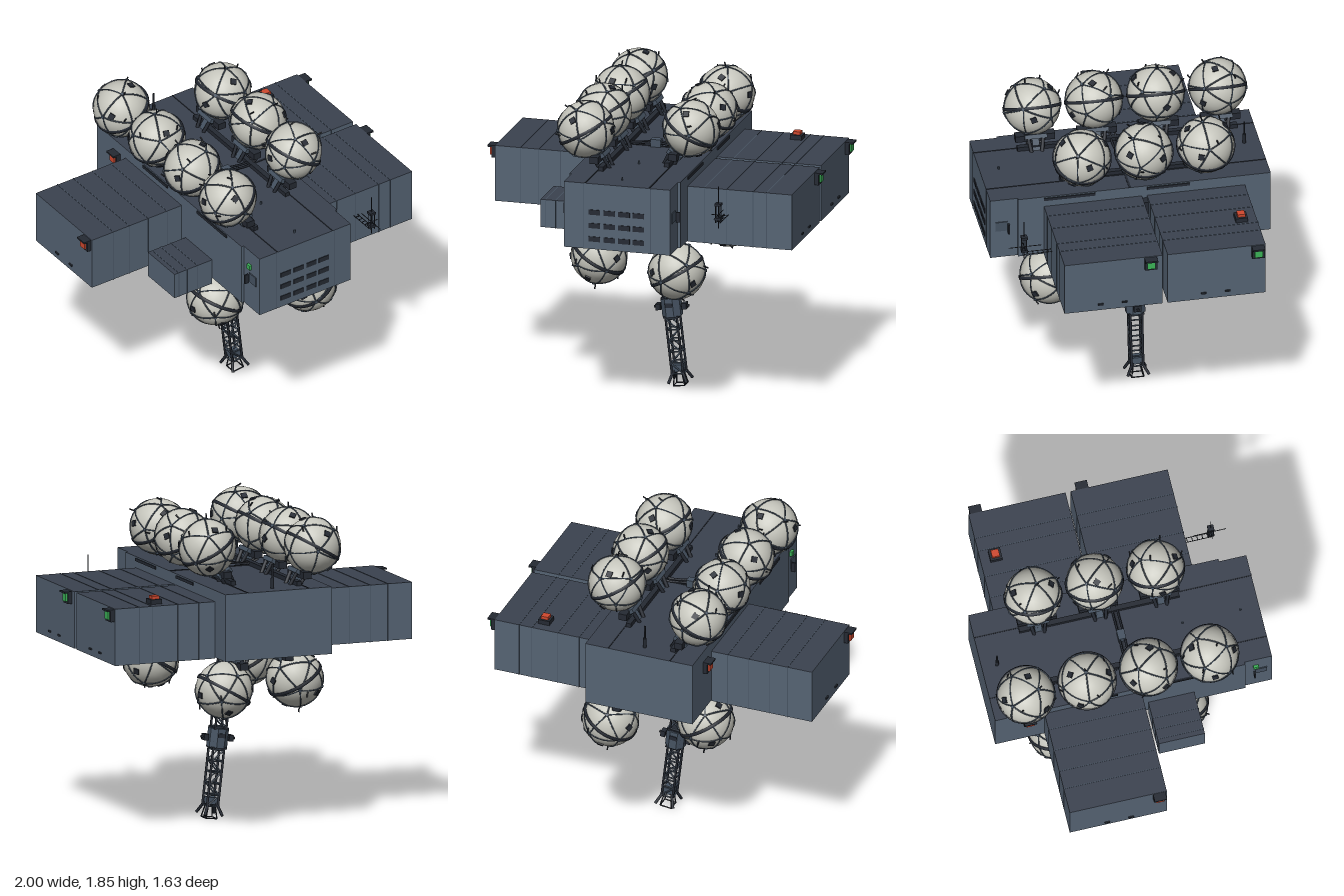
import * as THREE from 'three';
import { mergeGeometries } from 'three/addons/utils/BufferGeometryUtils.js';

const mat = (name, color) => Object.assign(new THREE.MeshStandardMaterial({ color }), { name });
const V = (x, y, z) => new THREE.Vector3(x, y, z);
const UP = V(0, 1, 0);

export function createModel() {
  const root = new THREE.Group();
  root.name = 'orbitalDepot';
  const hull = mat('hullSlate', 0x566474), deck = mat('deckSlate', 0x3b424f);
  const steel = mat('steelBlue', 0x465362), dark = mat('darkTrim', 0x252a33);
  const pale = mat('tankPale', 0xc6c6bd), red = mat('signalRed', 0xd0492f), green = mat('signalGreen', 0x3cb458);
  const shell = [hull, hull, deck, deck, hull, hull];

  const add = (name, geo, m, parent = root) => {
    const mesh = new THREE.Mesh(geo, m);
    mesh.name = name;
    parent.add(mesh);
    return mesh;
  };
  const group = (name, parent = root) => {
    const g = new THREE.Group();
    g.name = name;
    parent.add(g);
    return g;
  };
  // box given by its lower and upper limits on each axis
  const box = (name, x0, x1, y0, y1, z0, z1, m, parent) => {
    const b = add(name, new THREE.BoxGeometry(x1 - x0, y1 - y0, z1 - z0), m, parent);
    b.position.set((x0 + x1) / 2, (y0 + y1) / 2, (z0 + z1) / 2);
    return b;
  };
  // straight bar geometry between two points
  const bar = (a, b, r, sides = 5) => {
    const d = b.clone().sub(a), g = new THREE.CylinderGeometry(r, r, d.length(), sides);
    g.applyQuaternion(new THREE.Quaternion().setFromUnitVectors(UP, d.normalize()));
    return g.translate((a.x + b.x) / 2, (a.y + b.y) / 2, (a.z + b.z) / 2);
  };
  const bars = (name, list, r, m, parent) => add(name, mergeGeometries(list.map(([a, b]) => bar(a, b, r))), m, parent);

  // core hull with narrower nose and its deck seams
  box('coreHull', -0.33, 0.33, 1.06, 1.45, -0.82, 0.65, shell);
  box('noseBlock', -0.315, 0.315, 1.06, 1.45, 0.65, 0.81, shell);
  for (const s of [-1, 1]) {
    box('nosePanel', s * 0.318 - 0.003, s * 0.318 + 0.003, 1.24, 1.3, 0.71, 0.78, steel);
    box('noseHandle', s * 0.335 - 0.012, s * 0.335 + 0.012, 1.23, 1.29, 0.7, 0.71, dark);
    box('deckSeam', s * 0.19 - 0.003, s * 0.19 + 0.003, 1.448, 1.453, -0.82, 0.81, dark);
    for (const [z0, z1] of [[0.2, 0.5], [-0.35, -0.1]])
      box('sideVent', s * 0.332 - 0.004, s * 0.332 + 0.004, 1.425, 1.442, z0, z1, dark);
  }
  box('crossSeam', -0.33, 0.33, 1.448, 1.454, -0.006, 0.006, dark);

  // nose grilles and panel seams
  for (const y of [1.12, 1.2, 1.28]) for (const x of [-0.135, -0.045, 0.042, 0.127])
    box('noseGrille', x - 0.034, x + 0.034, y - 0.015, y + 0.015, 0.808, 0.814, dark);
  for (const x of [-0.2, 0.2]) box('noseSeam', x - 0.002, x + 0.002, 1.06, 1.45, 0.808, 0.812, steel);

  // cargo wings: x0, x1, y0, y1, z0, z1, seam positions
  const wings = [
    [0.33, 0.95, 1.055, 1.385, -0.67, -0.1, [0.43, 0.56, 0.72, 0.8]],
    [0.33, 0.95, 1.055, 1.385, -0.07, 0.5, [0.43, 0.56, 0.72, 0.8]],
    [-0.95, -0.33, 1.055, 1.385, -0.53, 0.04, [-0.8, -0.69, -0.56, -0.43]],
    [-0.59, -0.33, 1.02, 1.185, 0.08, 0.35, [-0.56, -0.5, -0.43]]];
  for (const [x0, x1, y0, y1, z0, z1, seams] of wings) {
    box('cargoWing', x0, x1, y0, y1, z0, z1, shell);
    for (const x of seams) box('wingSeam', x - 0.002, x + 0.002, y0 - 0.002, y1 + 0.002, z0 - 0.002, z1 + 0.002, steel);
    const xe = x0 > 0 ? x1 : x0;
    if (y1 > 1.2) for (const dz of [-0.08, 0.06])
      box('wingHandle', xe - 0.008, xe + 0.008, 1.09, 1.1, (z0 + z1) / 2 + dz, (z0 + z1) / 2 + dz + 0.03, dark);
  }
  box('wingLink', 0.33, 0.38, 1.07, 1.37, -0.1, -0.07, dark);

  // side signal lamps: housing with a coloured face
  const lamp = (x, z, s, m) => {
    const g = group('signalLamp');
    g.position.set(x, 1.345, z);
    g.rotation.y = s < 0 ? Math.PI : 0;
    box('lampBack', 0, 0.025, -0.036, 0.036, -0.036, 0.036, dark, g);
    box('lampHood', 0, 0.048, 0.026, 0.036, -0.036, 0.036, dark, g);
    box('lampFace', 0.024, 0.036, -0.023, 0.023, -0.023, 0.023, m, g);
  };
  lamp(0.95, 0, 1, green);
  lamp(0.95, -0.625, 1, green);
  lamp(-0.95, -0.005, -1, red);
  lamp(-0.33, -0.62, -1, red);
  box('beaconBase', 0.635, 0.705, 1.38, 1.412, -0.615, -0.545, dark);
  box('beaconLens', 0.648, 0.692, 1.41, 1.43, -0.602, -0.558, red);
  box('noseLamp', -0.33, -0.31, 1.33, 1.36, 0.7, 0.73, green);

  // tank parts shared by all tanks; local +y points away from the hull
  const R = 0.163;
  const ball = new THREE.IcosahedronGeometry(R, 5);
  const ico = new THREE.IcosahedronGeometry(1, 0);
  const ep = new THREE.EdgesGeometry(ico).attributes.position;
  const strapList = [], nodes = new Map();
  for (let i = 0; i < ep.count; i += 2) {
    const a = V().fromBufferAttribute(ep, i), b = V().fromBufferAttribute(ep, i + 1);
    const arc = [0, 0.25, 0.5, 0.75, 1].map(t => a.clone().lerp(b, t).setLength(R + 0.001));
    strapList.push(new THREE.TubeGeometry(new THREE.CatmullRomCurve3(arc), 6, 0.0045, 4));
    for (const p of [a, b]) nodes.set(p.toArray().map(n => n.toFixed(2)).join(), p);
  }
  const points = [...nodes.values()];
  strapList.push(...points.map(p => bar(p.clone().setLength(R - 0.004), p.clone().setLength(R + 0.009), 0.01, 6)));
  const straps = mergeGeometries(strapList);
  const band = new THREE.LatheGeometry([[R, -0.009], [R + 0.007, -0.009], [R + 0.007, 0.009], [R, 0.009]]
    .map(p => new THREE.Vector2(...p)), 40);
  const fittings = [];
  [[1, 0.9, 0.2], [-0.7, 0.8, 0.7], [0.1, 0.7, -1], [-1, -0.5, -0.3], [0.7, -0.6, 0.8]].forEach(d => {
    const n = V(...d).normalize(), q = new THREE.Quaternion().setFromUnitVectors(UP, n);
    fittings.push(new THREE.BoxGeometry(0.034, 0.012, 0.034).applyQuaternion(q).translate(n.x * R, n.y * R, n.z * R));
  });
  [[0.3, 1, 0.5], [-0.5, 1, -0.4], [0.9, 0.3, -0.6], [-0.4, 0.4, 1]].forEach(d => {
    const n = V(...d).normalize().multiplyScalar(R);
    fittings.push(bar(n, n.clone().multiplyScalar(1.04).add(V(0.015, 0.02, 0.012)), 0.0045));
  });
  const fitting = mergeGeometries(fittings);

  const tank = (x, y, z, i) => {
    const g = group('tank');
    g.position.set(x, y, z);
    const up = y > 1.2 ? 1 : -1;
    g.quaternion.setFromUnitVectors(UP, V(Math.sign(x) * 0.5, up * 0.866, 0));
    const body = group('tankBody', g);
    body.rotation.y = i * 1.1;
    add('tankShell', ball, pale, body);
    add('tankStraps', straps, steel, body).rotation.set(0.4, 0, 0.3);
    add('tankBand', band, dark, body).material.side = THREE.DoubleSide;
    add('tankFittings', fitting, dark, body);
    // cradle and legs down to the hull
    box('tankCradle', -0.045, 0.045, -0.185, -0.16, -0.065, 0.065, steel, g);
    bars('cradleLegs', [-1, 1].flatMap(a => [-1, 1].map(b =>
      [V(a * 0.03, -0.17, b * 0.045), V(a * 0.025, -0.265, b * 0.03)])), 0.011, dark, g);
    box('cradlePost', -0.02, 0.02, -0.255, -0.17, -0.02, 0.02, steel, g);
    // level mounting blocks
    const by = up > 0 ? 1.51 : 1.005, bx = x - Math.sign(x) * 0.08;
    box('mountBlock', bx - 0.025, bx + 0.025, by - 0.02, by + 0.02, z - 0.115, z + 0.115, dark);
  };
  let n = 0;
  for (const z of [-0.63, -0.27, 0.09, 0.45]) tank(-0.29, 1.66, z, n++);
  for (const z of [-0.45, -0.09, 0.27]) tank(0.285, 1.66, z, n++);
  for (const z of [-0.62, 0.46]) tank(0.255, 0.86, z, n++);
  for (const z of [-0.44, 0.28]) tank(-0.26, 0.86, z, n++);

  // tank rails along the deck and arched ties between them
  box('tankRail', -0.185, -0.155, 1.45, 1.475, -0.72, 0.56, dark);
  box('tankRail', 0.155, 0.185, 1.45, 1.475, -0.56, 0.38, dark);
  for (const z of [-0.015, 0.015]) {
    const arch = new THREE.CatmullRomCurve3([V(-0.21, 1.485, z), V(-0.15, 1.462, z), V(0, 1.478, z), V(0.15, 1.462, z), V(0.21, 1.485, z)]);
    add('archTie', new THREE.TubeGeometry(arch, 20, 0.007, 5), dark);
  }
  box('archHub', -0.03, 0.03, 1.45, 1.495, -0.022, 0.022, steel);
  for (const z of [-0.44, 0.46]) bars('lowerTie', [[V(-0.17, 1.035, z), V(0.17, 1.035, z)]], 0.009, dark);
  box('lowerHub', -0.05, 0.05, 1.03, 1.06, -0.13, -0.03, dark);
  box('lowerSensor', -0.02, 0.02, 1.02, 1.06, 0.09, 0.13, dark);

  // deck mast
  bars('deckMast', [[V(0, 1.45, -0.73), V(0, 1.59, -0.73)]], 0.006, dark);
  bars('mastCollar', [[V(0, 1.45, -0.73), V(0, 1.51, -0.73)]], 0.011, dark);
  for (const z of [0.36, 0.7]) bars('deckPin', [[V(0, 1.45, z), V(0, 1.468, z)]], 0.006, steel);

  // aerial on an outrigger ahead of the wing
  const aerial = [[V(0.56, 1.2, 0.66), V(0.56, 1.45, 0.66)], [V(0.56, 1.28, 0.56), V(0.56, 1.28, 0.75)],
    [V(0.52, 1.28, 0.66), V(0.6, 1.28, 0.66)]];
  for (const x of [0.547, 0.573]) {
    aerial.push([V(x, 1.235, 0.5), V(x, 1.235, 0.66)]);
    for (const z of [0.647, 0.673]) aerial.push([V(x, 1.235, z), V(x, 1.35, z)]);
  }
  for (let z = 0.52; z < 0.65; z += 0.03) aerial.push([V(0.547, 1.235, z), V(0.573, 1.235, z)]);
  bars('aerial', aerial, 0.0025, dark);
  for (const y of [1.25, 1.335]) box('aerialBox', 0.542, 0.578, y, y + 0.015, 0.642, 0.678, dark);

  // hanging lattice boom
  const boom = group('boom');
  boom.position.set(0, 1.06, -0.08);
  boom.rotation.z = 0.115;
  const h = 0.034, len = 0.98, steps = 15, rails = [], lattice = [];
  for (const x of [-h, h]) for (const z of [-h, h]) rails.push([V(x, 0, z), V(x, -len, z)]);
  bars('boomRails', rails, 0.0075, dark, boom);
  for (let i = 0; i <= steps; i++) {
    const y = -i * len / steps, y2 = y - len / steps, s = i % 2 ? h : -h;
    for (const k of [-h, h]) {
      lattice.push([V(-h, y, k), V(h, y, k)], [V(k, y, -h), V(k, y, h)]);
      if (i < steps) lattice.push([V(s, y, k), V(-s, y2, k)]);
    }
  }
  bars('boomLattice', lattice, 0.005, steel, boom);

  // boom cabin with side pods
  const cabin = group('boomCabin', boom);
  cabin.position.y = -0.585;
  const drum = new THREE.CylinderGeometry(0.06, 0.06, 0.11, 8).toNonIndexed();
  drum.computeVertexNormals();
  add('cabinDrum', drum, steel, cabin).rotation.y = Math.PI / 8;
  for (const y of [-0.057, 0.057]) box('cabinRim', -0.045, 0.045, y - 0.006, y + 0.006, -0.045, 0.045, dark, cabin);
  for (const s of [-1, 1]) {
    bars('podArm', [[V(s * 0.05, 0, 0), V(s * 0.105, 0, 0)]], 0.008, dark, cabin);
    box('podHead', s * 0.078 - 0.014, s * 0.078 + 0.014, -0.018, 0.018, -0.022, 0.022, dark, cabin);
    box('cabinWindow', -0.022, 0.022, 0.005, 0.03, s * 0.057 - 0.003, s * 0.057 + 0.003, dark, cabin);
  }

  // splayed foot at the end of the boom
  const foot = group('boomFoot', boom);
  foot.position.y = -len;
  box('footBlock', -0.03, 0.03, 0.01, 0.05, -0.028, 0.028, steel, foot);
  const legs = [], ring = [];
  for (const a of [-1, 1]) {
    for (const b of [-1, 1]) legs.push([V(a * 0.025, 0.02, b * 0.025), V(a * 0.055, -0.05, b * 0.062)]);
    ring.push([V(-0.034, -0.07, a * 0.036), V(0.034, -0.07, a * 0.036)], [V(a * 0.034, -0.07, -0.036), V(a * 0.034, -0.07, 0.036)]);
    for (const b of [-1, 1]) ring.push([V(a * 0.02, 0.01, b * 0.02), V(a * 0.034, -0.07, b * 0.036)]);
  }
  bars('footLegs', legs, 0.009, dark, foot);
  bars('footRing', ring, 0.004, dark, foot);
  return root;
}
